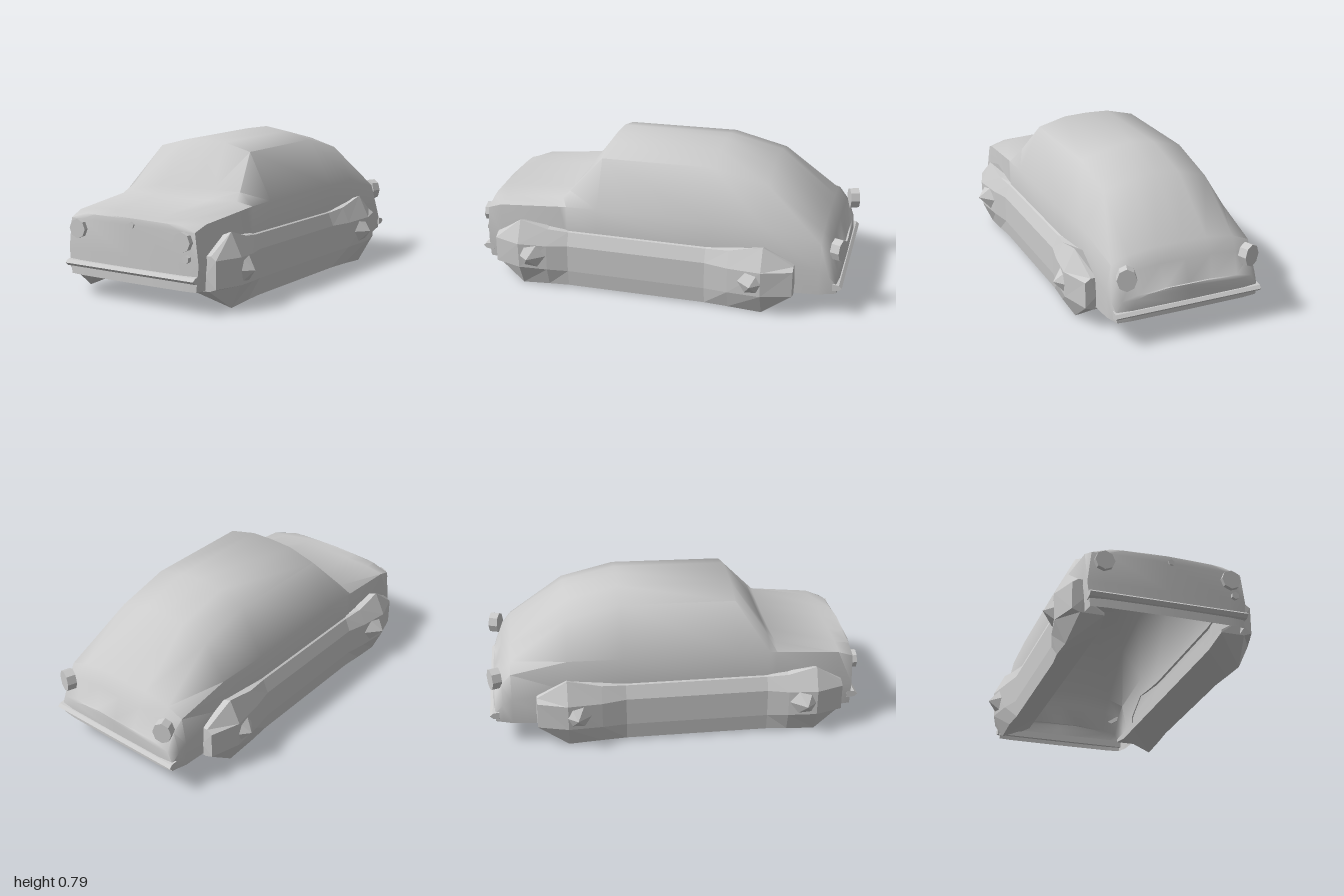
import * as THREE from 'three';
import { toCreasedNormals } from 'three/addons/utils/BufferGeometryUtils.js';

const smooth = new THREE.MeshStandardMaterial({ color: 0xcccccc, side: THREE.DoubleSide });
const faceted = new THREE.MeshStandardMaterial({ color: 0xcccccc, side: THREE.DoubleSide, flatShading: true });

// Skin a surface over rings of [x, y, z] points with equal counts
function loft(rings) {
  const n = rings[0].length;
  const index = [];
  for (let i = 0; i < rings.length - 1; i++) {
    for (let j = 0; j < n - 1; j++) {
      const a = i * n + j, b = a + n;
      index.push(a, b, a + 1, a + 1, b, b + 1);
    }
  }
  const geometry = new THREE.BufferGeometry();
  geometry.setAttribute('position', new THREE.Float32BufferAttribute(rings.flat(2), 3));
  geometry.setIndex(index);
  return geometry;
}

function add(parent, name, geometry, material, x = 0, y = 0, z = 0) {
  const mesh = new THREE.Mesh(geometry, material);
  mesh.name = name;
  mesh.position.set(x, y, z);
  parent.add(mesh);
  return mesh;
}

// Body shell: half sections run from bottom edge to centre line, open underneath
function bodyShell() {
  const sections = [
    [0.96, [[0.39, 0.11], [0.405, 0.24], [0.385, 0.40], [0.29, 0.43], [0.14, 0.435], [0, 0.435]]],
    [0.88, [[0.40, 0.11], [0.41, 0.25], [0.395, 0.43], [0.30, 0.445], [0.15, 0.45], [0, 0.45]]],
    [0.54, [[0.41, 0.11], [0.41, 0.28], [0.405, 0.46], [0.34, 0.49], [0.17, 0.48], [0, 0.475]]],
    [0.50, [[0.41, 0.11], [0.41, 0.28], [0.41, 0.465], [0.335, 0.53], [0.17, 0.53], [0, 0.53]]],
    [0.33, [[0.41, 0.11], [0.41, 0.29], [0.41, 0.47], [0.285, 0.715], [0.13, 0.755], [0, 0.76]]],
    [-0.28, [[0.41, 0.11], [0.41, 0.30], [0.41, 0.47], [0.285, 0.725], [0.13, 0.765], [0, 0.785]]],
    [-0.57, [[0.41, 0.11], [0.41, 0.30], [0.40, 0.47], [0.285, 0.655], [0.13, 0.70], [0, 0.715]]],
    [-0.87, [[0.40, 0.12], [0.405, 0.26], [0.38, 0.40], [0.29, 0.435], [0.14, 0.455], [0, 0.455]]],
    [-0.92, [[0.39, 0.125], [0.40, 0.23], [0.37, 0.34], [0.28, 0.37], [0.14, 0.385], [0, 0.385]]],
    [-0.96, [[0.385, 0.13], [0.39, 0.18], [0.36, 0.24], [0.27, 0.26], [0.13, 0.27], [0, 0.27]]],
  ];
  const ring = ([z, half], sx = 1, bulge = 0) => {
    const right = half.map(([x, y]) => [x * sx, y, z + bulge]);
    const left = right.slice(0, -1).reverse().map(([x, y, w]) => [-x, y, w]);
    return [...right, ...left];
  };
  const first = sections[0], last = sections[sections.length - 1];
  return toCreasedNormals(loft([
    ring(first, 0, 0.012), ring(first, 0.8, 0.008),
    ...sections.map((s) => ring(s)),
    ring(last, 0.8, -0.008), ring(last, 0, -0.01),
  ]), 1.05);
}

// Wheels and sill of one side, joined in a single faceted beam
function wheelBeam(side) {
  const wheel = [[0.40, 0.36], [0.45, 0.38], [0.51, 0.26], [0.505, 0.12], [0.45, 0], [0.29, 0.07], [0.29, 0.11]];
  const edge = [[0.40, 0.34], [0.44, 0.335], [0.48, 0.25], [0.48, 0.11], [0.45, 0.01], [0.29, 0.07], [0.29, 0.11]];
  const sill = [[0.40, 0.33], [0.42, 0.32], [0.45, 0.25], [0.45, 0.10], [0.44, 0.01], [0.29, 0.07], [0.29, 0.11]];
  const tip = [[0.40, 0.28], [0.43, 0.28], [0.46, 0.26], [0.46, 0.12], [0.42, 0.105], [0.30, 0.105], [0.30, 0.12]];
  const cap = tip.map(() => [0.40, 0.18]);
  const stations = [
    [0.90, cap], [0.895, tip], [0.75, wheel], [0.60, edge], [0.49, sill],
    [-0.27, sill], [-0.40, edge], [-0.58, wheel], [-0.74, tip], [-0.745, cap],
  ];
  return loft(stations.map(([z, pts]) => pts.map(([x, y]) => [x * side, y, z])));
}

export function createModel() {
  const car = new THREE.Group();
  car.name = 'car';
  add(car, 'body', bodyShell(), smooth);

  for (const side of [1, -1]) {
    const label = side > 0 ? 'left' : 'right';
    add(car, label + 'WheelsAndSill', wheelBeam(side), faceted);

    // Pointed hubcaps
    for (const [name, z] of [['FrontHubcap', 0.69], ['RearHubcap', -0.53]]) {
      const hub = add(car, label + name, new THREE.ConeGeometry(0.085, 0.07, 6), faceted, side * 0.515, 0.19, z);
      hub.rotation.z = -side * Math.PI / 2;
    }

    // Headlamps
    const lamp = add(car, label + 'Headlamp', new THREE.CylinderGeometry(0.05, 0.05, 0.04, 8), faceted, side * 0.325, 0.352, 0.97);
    lamp.rotation.x = Math.PI / 2;

    // Rear lamps, turned outward
    const holder = new THREE.Group();
    holder.name = label + 'RearLamp';
    holder.position.set(side * 0.335, 0.36, -0.955);
    holder.rotation.set(0, -side * 0.35, 0);
    const disc = add(holder, 'rearLampLens', new THREE.CylinderGeometry(0.05, 0.05, 0.05, 8), faceted);
    disc.rotation.x = Math.PI / 2;
    disc.scale.z = 1.2;
    car.add(holder);
  }

  // Small front details
  const marker = add(car, 'frontMarkerLamp', new THREE.CylinderGeometry(0.02, 0.02, 0.025, 6), faceted, 0.345, 0.27, 0.972);
  marker.rotation.x = Math.PI / 2;
  const latch = add(car, 'hoodLatch', new THREE.CylinderGeometry(0.017, 0.017, 0.02, 5), faceted, 0.015, 0.402, 0.97);
  latch.rotation.x = -Math.PI / 2;

  // Bumpers: wedge profile run across the car
  const bumper = (depth) => loft([-1, -1, 1, 1].map((s, i) => {
    const profile = [[0.15, 0], [0.155, 0.7], [0.17, 1], [0.185, 0.7], [0.19, 0], [0.15, 0]];
    return profile.map(([y, d]) => (i % 3 ? [s * 0.4, y, d * depth] : [s * 0.4, 0.17, d * depth * 0.5]));
  }));
  add(car, 'frontBumper', bumper(0.06), faceted, 0, 0, 0.94);
  add(car, 'rearBumper', bumper(-0.05), faceted, 0, 0, -0.94);
  return car;
}
